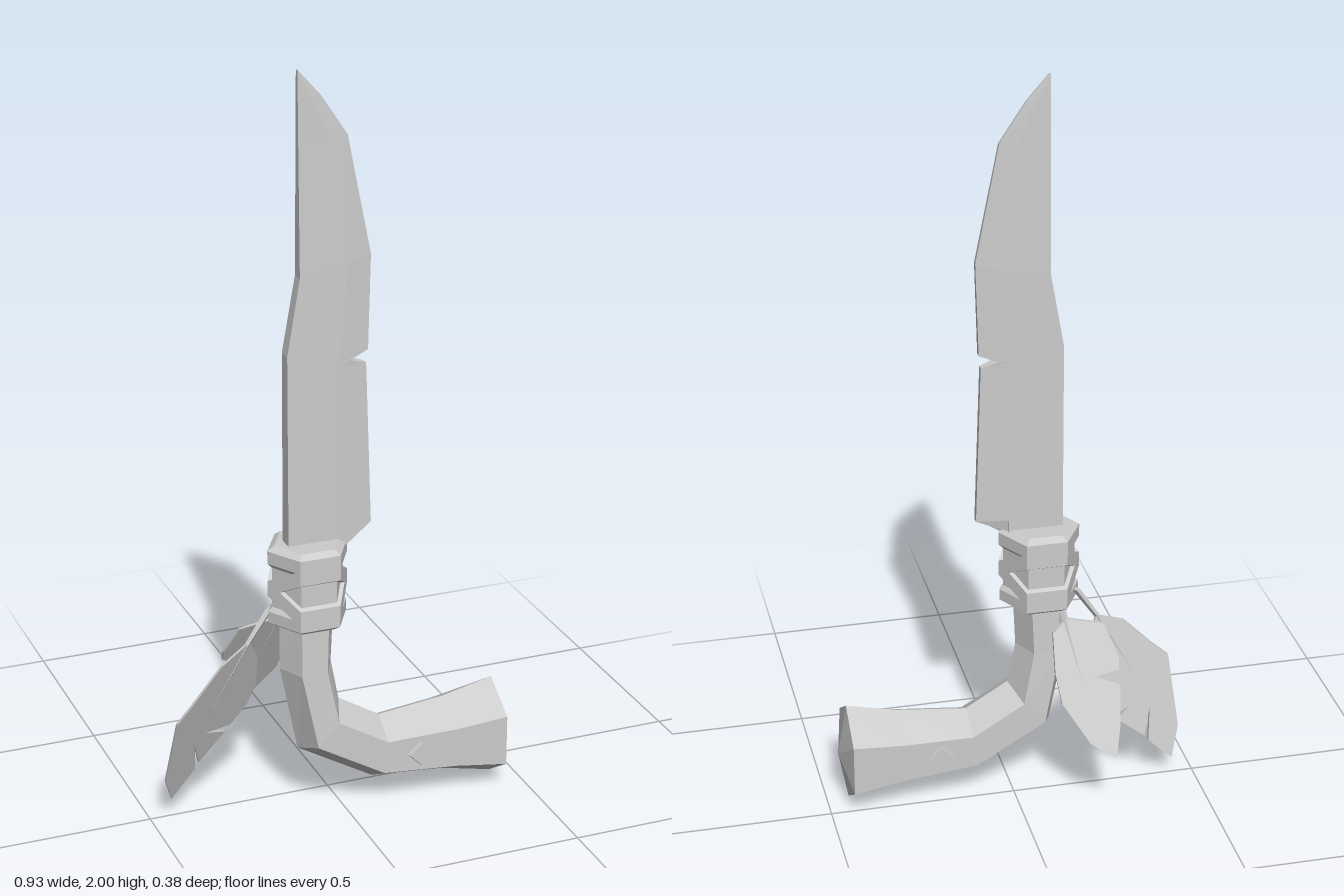
import * as THREE from 'three';

const ZC = 0.078; // depth of the knife's centre plane
const material = new THREE.MeshStandardMaterial({ color: 0xcccccc, flatShading: true, side: THREE.DoubleSide });

function addMesh(parent, name, geometry) {
  const mesh = new THREE.Mesh(geometry, material);
  mesh.name = name;
  parent.add(mesh);
  return mesh;
}

// Skin a list of equal-length rings of [x, y, z] points and close both ends
function loft(rings) {
  const centre = (ring) => [0, 1, 2].map((k) => ring.reduce((sum, p) => sum + p[k], 0) / ring.length);
  const collapse = (ring) => ring.map(() => centre(ring));
  const all = [collapse(rings[0]), ...rings, collapse(rings[rings.length - 1])];
  const pos = [];
  for (let j = 0; j < all.length - 1; j++) {
    const n = all[j].length;
    for (let i = 0; i < n; i++) {
      const k = (i + 1) % n;
      const a = all[j][i], b = all[j][k], c = all[j + 1][k], d = all[j + 1][i];
      if (j > 0) pos.push(...a, ...b, ...c);
      if (j < all.length - 2) pos.push(...a, ...c, ...d);
      else if (j === 0) pos.push(...a, ...b, ...c);
    }
  }
  const g = new THREE.BufferGeometry();
  g.setAttribute('position', new THREE.Float32BufferAttribute(pos, 3));
  g.computeVertexNormals();
  return g;
}

// Blade: spine x, bevel x and edge x at each height, with half thicknesses
function bladeGeometry() {
  const levels = [
    // y spine/edge pairs let the lower and upper ends slope
    { s: [-0.145, 0.74], m: [0.0, 0.74], e: [0.0, 0.765], h: 0.021, t: 0.014 },
    { s: [-0.145, 0.8], m: [0.0, 0.8], e: [0.085, 0.8], h: 0.021, t: 0.01 },
    { s: [-0.145, 1.22], m: [0.0, 1.235], e: [0.07, 1.235], h: 0.019, t: 0.009 },
    { s: [-0.145, 1.25], m: [0.0, 1.25], e: [0.025, 1.25], h: 0.019, t: 0.016 },
    { s: [-0.145, 1.28], m: [0.0, 1.27], e: [0.075, 1.27], h: 0.019, t: 0.009 },
    { s: [-0.11, 1.48], m: [0.015, 1.5], e: [0.082, 1.52], h: 0.017, t: 0.007 },
    { s: [-0.11, 1.83], m: [-0.03, 1.83], e: [0.02, 1.83], h: 0.009, t: 0.005 },
    { s: [-0.11, 1.935], m: [-0.075, 1.935], e: [-0.05, 1.935], h: 0.007, t: 0.004 },
    { s: [-0.11, 2], m: [-0.11, 2], e: [-0.108, 2], h: 0.005, t: 0.004 },
  ];
  return loft(levels.map(({ s, m, e, h, t }) => [
    [...s, ZC + h], [...m, ZC + h], [...e, ZC + t],
    [...e, ZC - t], [...m, ZC - h], [...s, ZC - h],
  ]));
}

// Handle: hexagonal rings from the butt to the collar [outer x, y, inner x, y, half depth]
function handleGeometry() {
  const stations = [
    [0.465, 0.142, 0.465, 0.142, 0],
    [0.44, 0.005, 0.44, 0.287, 0.108],
    [0.3, 0.037, 0.3, 0.255, 0.096],
    [0.095, 0.057, 0.115, 0.235, 0.08],
    [-0.115, 0.18, 0.0, 0.305, 0.08],
    [-0.163, 0.42, -0.022, 0.42, 0.071],
    [-0.163, 0.57, -0.015, 0.57, 0.066],
  ];
  return loft(stations.map(([ox, oy, ix, iy, h]) => {
    const at = (f, z) => [ox + (ix - ox) * f, oy + (iy - oy) * f, ZC + z];
    return [at(0, 0), at(0.25, h), at(0.75, h), at(1, 0), at(0.75, -h), at(0.25, -h)];
  }));
}

// Feather: thin notched outline leaned in depth by a rule, with a tapering quill
function addFeather(parent, name, outline, quill, depthAt) {
  const group = new THREE.Group();
  group.name = name;
  const shape = new THREE.Shape(outline.map(([x, y]) => new THREE.Vector2(x, y)));
  const vane = new THREE.ExtrudeGeometry(shape, { depth: 0.01, bevelEnabled: false });
  const p = vane.attributes.position;
  for (let i = 0; i < p.count; i++) {
    p.setZ(i, p.getZ(i) - 0.005 + depthAt(p.getX(i), p.getY(i)));
  }
  vane.computeVertexNormals();
  addMesh(group, 'vane', vane);

  const rings = quill.map(([x, y], i) => {
    const r = 0.011 - 0.008 * i / (quill.length - 1);
    const z = depthAt(x, y);
    return [[x - r, y, z], [x, y, z - r], [x + r, y, z], [x, y, z + r]];
  });
  addMesh(group, 'quill', loft(rings));
  parent.add(group);
}

export function createModel() {
  const model = new THREE.Group();
  model.name = 'knife';
  addMesh(model, 'blade', bladeGeometry());
  addMesh(model, 'handle', handleGeometry());

  // Six-sided collar with raised rims
  const collar = new THREE.Group();
  collar.name = 'collar';
  collar.position.set(-0.086, 0, ZC);
  model.add(collar);
  const profile = [[0, 0.545], [0.088, 0.545], [0.107, 0.557], [0.107, 0.588], [0.097, 0.6],
    [0.097, 0.71], [0.109, 0.722], [0.109, 0.757], [0.09, 0.77], [0, 0.77]];
  addMesh(collar, 'collarBody', new THREE.LatheGeometry(
    profile.map(([x, y]) => new THREE.Vector2(x, y)), 6, Math.PI / 6));

  // Two tilted straps that cross at the sides
  for (const slope of [0.6, -0.6]) {
    const strap = new THREE.CylinderGeometry(0.109, 0.109, 0.042, 6).rotateY(Math.PI / 6);
    const p = strap.attributes.position;
    for (let i = 0; i < p.count; i++) p.setY(i, p.getY(i) + 0.653 + slope * p.getZ(i));
    addMesh(collar, 'crossStrap', strap);
  }

  // Diamond studs on both sides of the handle
  for (const side of [1, -1]) {
    const stud = new THREE.CylinderGeometry(0.033, 0.042, 0.03, 4).rotateX(side * Math.PI / 2);
    addMesh(model, 'stud', stud).position.set(0.2, 0.147, ZC + side * 0.083);
  }

  // Outer feather, twisted about its quill
  addFeather(model, 'outerFeather', [
    [-0.235, 0.495], [-0.32, 0.455], [-0.4, 0.37], [-0.452, 0.32], [-0.468, 0.13], [-0.44, 0.055],
    [-0.37, 0.125], [-0.382, 0.21], [-0.36, 0.14], [-0.28, 0.21], [-0.35, 0.24], [-0.265, 0.225],
    [-0.215, 0.27], [-0.19, 0.33], [-0.2, 0.43],
  ], [[-0.18, 0.58], [-0.24, 0.49], [-0.33, 0.33], [-0.4, 0.18]], (x, y) => {
    const across = -0.9 * (x + 0.19) + 0.44 * (y - 0.57);
    const along = -0.44 * (x + 0.19) - 0.9 * (y - 0.57);
    return 0.05 + 0.6 * across - 0.09 * along;
  });

  // Rear feather, leaning away from the handle
  addFeather(model, 'rearFeather', [
    [-0.14, 0.525], [-0.24, 0.505], [-0.27, 0.425], [-0.268, 0.395], [-0.2, 0.385], [-0.267, 0.36],
    [-0.255, 0.265], [-0.235, 0.19], [-0.17, 0.23], [-0.105, 0.33], [-0.095, 0.4], [-0.1, 0.495],
  ], [[-0.13, 0.575], [-0.138, 0.51], [-0.16, 0.4], [-0.2, 0.28]], (x, y) => (y - 0.535) / 1.87);

  return model;
}
